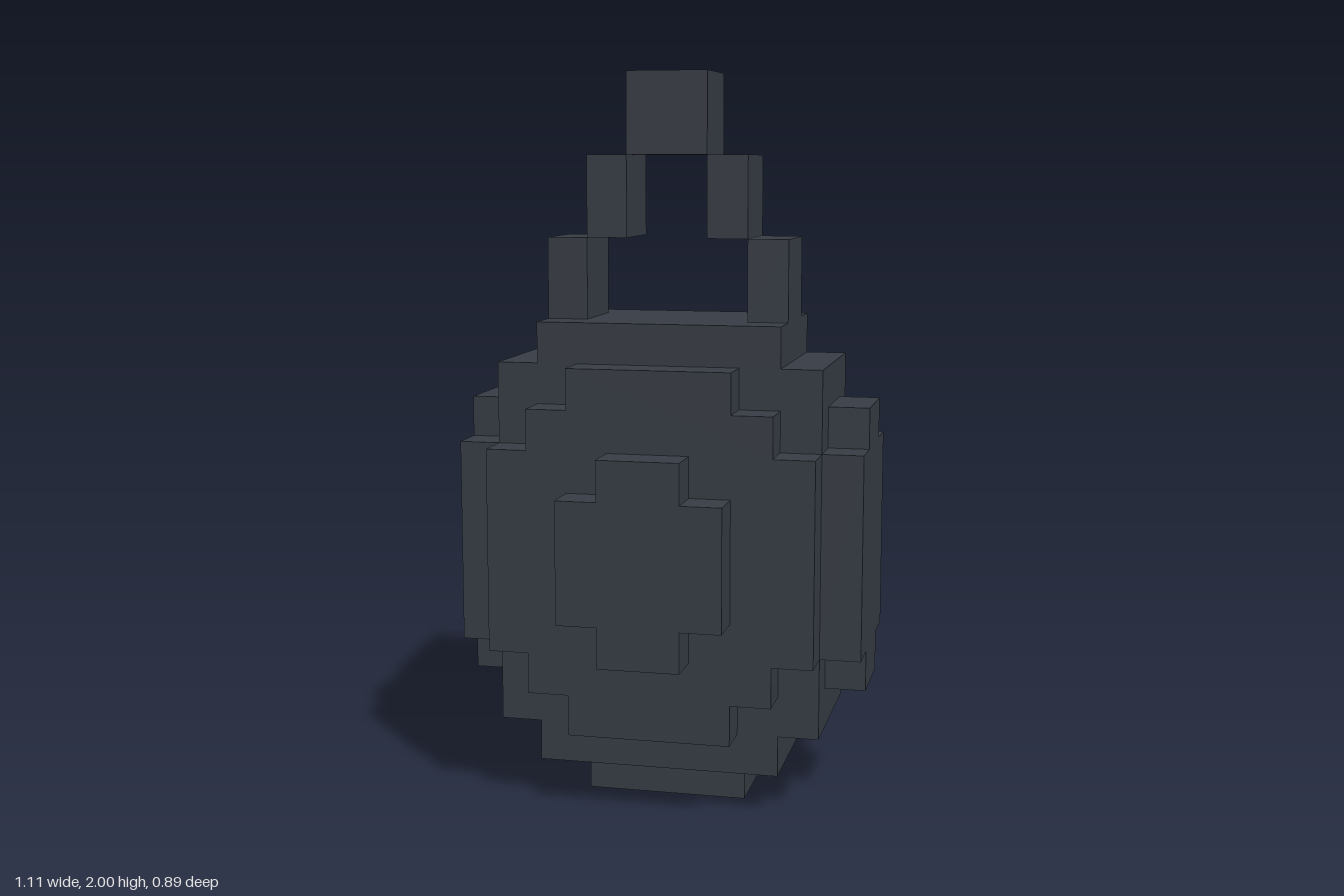
import * as THREE from 'three';

const U = 1 / 9; // one block step

export function createModel() {
  const model = new THREE.Group();
  const iron = new THREE.MeshStandardMaterial({ color: 0x383e46 });
  iron.name = 'dark iron';

  const add = (name, geometry) => {
    const mesh = new THREE.Mesh(geometry, iron);
    mesh.name = name;
    model.add(mesh);
    return mesh;
  };

  // box from half-depth and x / y ranges, in block steps
  const block = (name, x0, x1, y0, y1, halfZ) => {
    const geometry = new THREE.BoxGeometry((x1 - x0) * U, (y1 - y0) * U, halfZ * 2 * U);
    add(name, geometry).position.set((x0 + x1) / 2 * U, (y0 + y1) / 2 * U, 0);
  };

  // one-step-thick plate with stepped corners; steps are [half width, half height]
  const MID = 6.5; // height of the body's middle
  const plate = (name, steps, offset, angle) => {
    const quarter = [];
    steps.forEach(([w, h], i) => {
      if (i > 0) quarter.push([w, steps[i - 1][1]]);
      quarter.push([w, h]);
    });
    // the quarter runs from the wide low corner to the narrow tall one
    const back = [...quarter].reverse();
    const outline = [
      ...quarter,
      ...back.map(([x, y]) => [-x, y]),
      ...quarter.map(([x, y]) => [-x, -y]),
      ...back.map(([x, y]) => [x, -y]),
    ];
    const shape = new THREE.Shape(outline.map(([x, y]) => new THREE.Vector2(x * U, y * U)));
    const geometry = new THREE.ExtrudeGeometry(shape, { depth: U, bevelEnabled: false });
    geometry.translate(0, MID * U, offset * U).rotateY(angle);
    add(name, geometry);
  };

  // body core with stepped top and bottom
  block('foot', -2, 2, 0, 1, 1);
  block('lowerBody', -3, 3, 1, 2, 2);
  block('body', -4, 4, 2, 11, 2);
  block('upperBody', -3, 3, 11, 12, 2);

  // stepped plates on front and back
  for (const [side, angle] of [['front', 0], ['back', Math.PI]]) {
    plate(side + 'Plate', [[4, 2.5], [3, 3.5], [2, 4.5]], 2, angle);
    plate(side + 'Boss', [[2, 1.5], [1, 2.5]], 3, angle);
  }

  // stepped plates on the two sides
  plate('leftPlate', [[2, 2.5], [1, 3.5]], 4, Math.PI / 2);
  plate('rightPlate', [[2, 2.5], [1, 3.5]], 4, -Math.PI / 2);

  // arched handle
  for (const [side, s] of [['left', 1], ['right', -1]]) {
    const column = (name, a, b, y0, y1) =>
      block(side + name, Math.min(a * s, b * s), Math.max(a * s, b * s), y0, y1, 1);
    column('HandleLower', 2, 3, 12, 14);
    column('HandleUpper', 1, 2, 14, 16);
  }
  block('handleTop', -1, 1, 16, 18, 1);

  return model;
}
